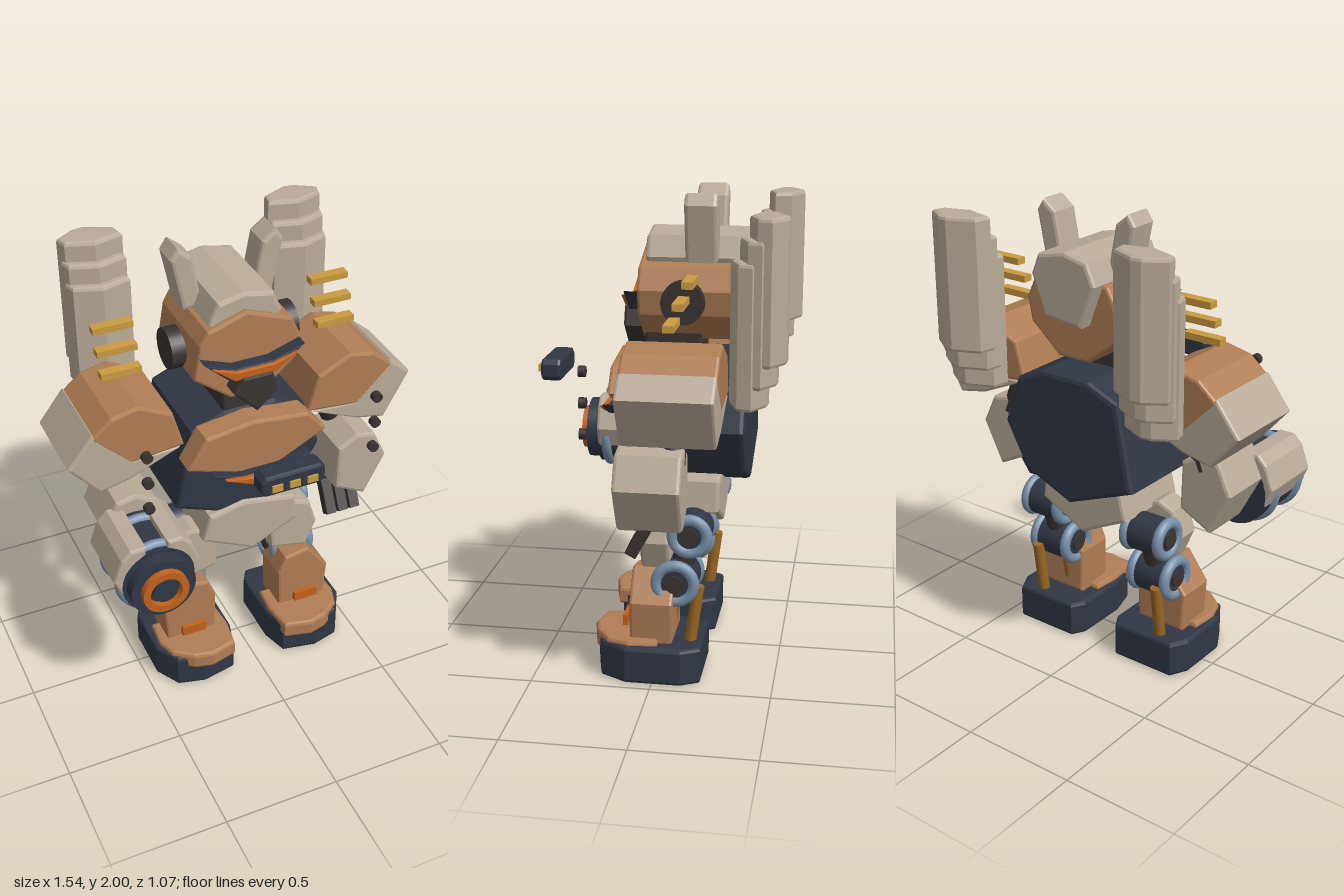
import * as THREE from 'three';

const mat = (name, color) => {
  const m = new THREE.MeshStandardMaterial({ color });
  m.name = name;
  return m;
};

export function createModel() {
  const tan = mat('tan armour', 0xb07d54), bone = mat('bone armour', 0xb9ab99);
  const navy = mat('navy frame', 0x303744), blue = mat('steel blue', 0x7890aa);
  const brown = mat('dark brown', 0x3a3331), orange = mat('orange glow', 0xc4611c);
  const gold = mat('gold', 0xcb9c40), amber = mat('amber piston', 0x9a6722);
  const root = new THREE.Group();

  const add = (name, geo, material, x = 0, y = 0, z = 0) => {
    const m = new THREE.Mesh(geo, material);
    m.name = name;
    m.position.set(x, y, z);
    root.add(m);
    return m;
  };
  // Bevelled prism whose outline and depth include the bevel
  const prism = (pts, d, b) => new THREE.ExtrudeGeometry(
    new THREE.Shape(pts.map(([x, y]) => new THREE.Vector2(x, y))),
    { depth: d - 2 * b, bevelThickness: b, bevelSize: b, bevelOffset: -b, bevelSegments: 2 }
  ).translate(0, 0, b);
  // Outline seen from the front, running from z0 to z1
  const plate = (name, material, pts, z0, z1, b = 0.012) =>
    add(name, prism(pts, z1 - z0, b), material, 0, 0, z0);
  // Outline (x, z) seen from above, running from y0 to y1
  const column = (name, material, pts, y0, y1, b = 0.015) =>
    add(name, prism(pts.map(([x, z]) => [x, -z]), y1 - y0, b).rotateX(-Math.PI / 2), material, 0, y0, 0);
  const box = (name, material, w, h, d, x, y, z) =>
    add(name, new THREE.BoxGeometry(w, h, d), material, x, y, z);
  const rect = (x0, x1, y0, y1, c) => [[x0 + c, y0], [x1 - c, y0], [x1, y0 + c], [x1, y1 - c],
    [x1 - c, y1], [x0 + c, y1], [x0, y1 - c], [x0, y0 + c]];
  const discX = (name, material, r, len, x, y, z) =>
    add(name, new THREE.CylinderGeometry(r, r, len, 28).rotateZ(Math.PI / 2), material, x, y, z);
  const discZ = (name, material, r, len, x, y, z) =>
    add(name, new THREE.CylinderGeometry(r, r, len, 32).rotateX(Math.PI / 2), material, x, y, z);
  const rod = (name, material, r, a, b) => {
    const va = new THREE.Vector3(...a), vb = new THREE.Vector3(...b), dir = vb.clone().sub(va);
    const m = add(name, new THREE.CylinderGeometry(r, r, dir.length(), 16), material);
    m.position.copy(va).lerp(vb, 0.5);
    m.quaternion.setFromUnitVectors(new THREE.Vector3(0, 1, 0), dir.normalize());
  };

  // Torso, chest and pelvis
  plate('torso', navy, [[-0.32, 0.9], [-0.245, 1.27], [-0.1, 1.33], [0.13, 1.33], [0.265, 1.27],
    [0.338, 1.06], [0.23, 0.865], [0, 0.77]], -0.36, 0.1, 0.02);
  plate('chestPlate', tan, [[-0.305, 1.165], [-0.225, 1.3], [-0.02, 1.33], [0.23, 1.3],
    [0.315, 1.2], [0.02, 1.05]], 0.085, 0.2);
  plate('chestVentFrame', navy, [[-0.205, 1.135], [-0.08, 1.1], [0.1, 1.1], [0.228, 1.13],
    [0.1, 1.062], [-0.06, 1.058]], 0.19, 0.24, 0.006);
  plate('chestVent', orange, [[-0.165, 1.115], [-0.07, 1.1], [0.09, 1.1], [0.185, 1.112],
    [0.08, 1.066], [-0.05, 1.062]], 0.235, 0.26, 0.005);
  plate('pelvis', bone, [[-0.212, 0.7], [-0.18, 0.825], [-0.02, 0.86], [0.22, 0.815],
    [0.235, 0.69], [0.02, 0.583]], -0.25, 0.12, 0.015);

  // Lamp unit ahead of the chest
  plate('lampUnit', navy, rect(-0.13, 0.147, 1.2, 1.29, 0.02), 0.43, 0.515);
  for (const x of [-0.07, 0.006, 0.082]) box('lamp', gold, 0.045, 0.03, 0.009, x, 1.245, 0.53);

  // Head
  plate('neck', brown, rect(-0.1, 0.11, 1.28, 1.46, 0.02), -0.16, 0.08);
  plate('head', tan, [[-0.225, 1.51], [-0.2, 1.66], [-0.165, 1.72], [0, 1.777], [0.2, 1.7],
    [0.24, 1.61], [0.22, 1.51], [0.08, 1.39], [-0.07, 1.39]], -0.31, 0.09);
  plate('crest', bone, [[-0.15, 1.73], [-0.11, 1.82], [0, 1.845], [0.13, 1.82], [0.165, 1.735],
    [0.1, 1.57], [-0.08, 1.55]], -0.37, 0.065, 0.015);
  plate('visorFrame', navy, [[-0.205, 1.61], [-0.07, 1.56], [0.09, 1.56], [0.23, 1.605],
    [0.11, 1.51], [-0.09, 1.505]], 0.08, 0.145, 0.006);
  plate('visor', orange, [[-0.175, 1.59], [-0.07, 1.555], [0.09, 1.555], [0.195, 1.585],
    [0.1, 1.518], [-0.08, 1.515]], 0.14, 0.16, 0.005);
  plate('muzzle', brown, [[-0.09, 1.46], [-0.05, 1.525], [0.08, 1.525], [0.11, 1.44],
    [0.015, 1.35]], 0.08, 0.168);

  // Paired parts
  for (const s of [1, -1]) {
    const X = x => (s > 0 ? x : 0.01 - x);
    const M = pts => pts.map(([x, y]) => [X(x), y]);

    plate('ear', bone, M([[0.247, 1.95], [0.215, 1.997], [0.155, 1.95], [0.112, 1.73], [0.2, 1.72]]),
      -0.232, -0.1, 0.015);
    discX('earDisc', brown, 0.087, 0.06, X(0.255), 1.57, -0.1);

    // Three overlapping back plates and the floating bars before them
    for (let i = 0; i < 3; i++) {
      const dz = i * 0.035;
      column('backPlate', bone, M([[0.342, -0.485], [0.455, -0.535], [0.5, -0.53], [0.585, -0.475],
        [0.57, -0.42], [0.455, -0.38], [0.328, -0.415]]).map(([x, z]) => [x, z + dz]),
      1.385 - i * 0.085, 1.947 - i * 0.084);
      box('bar', gold, 0.17, 0.028, 0.044, X(0.482), 1.692 - i * 0.084, -0.16 + i * 0.036);
      discZ('bolt', brown, 0.022, 0.028, X(0.51), 1.338 - i * 0.126, 0.256);
    }

    // Shoulders differ slightly in tilt
    const tip = s > 0 ? [0.767, 1.295] : [-0.77, 1.235];
    plate('shoulderTop', tan, M([[0.285, 1.22], [0.33, 1.385], [0.475, 1.457], [0.59, 1.432],
      [0.68, 1.355], [0.52, 1.195]]), -0.29, 0.09);
    plate('shoulderGuard', bone, [...M([[0.3, 1.215], [0.5, 1.21], [0.672, 1.375]]), tip,
      ...M([[0.655, 1.088], [0.525, 1.115]])], -0.289, 0.089);
    rod('upperArm', brown, 0.05, [X(0.44), 1.18, -0.1], [X(0.52), 0.98, -0.1]);
    plate('forearm', bone, M([[0.425, 1], [0.515, 1.052], [0.6, 1.035], [0.662, 0.905],
      [0.565, 0.715], [0.42, 0.79]]), -0.148, 0.12, 0.015);

    // Legs
    plate('thigh', bone, M([[0.125, 0.64], [0.16, 0.7], [0.25, 0.735], [0.325, 0.705],
      [0.362, 0.585], [0.31, 0.46], [0.14, 0.5]]), -0.06, 0.065, 0.015);
    for (const [y, z, r] of [[0.625, -0.145, 0.083], [0.415, -0.085, 0.09]]) {
      discX('joint', navy, r, 0.19, X(0.275), y, z);
      for (const dx of [-0.085, 0.085]) {
        add('jointRing', new THREE.TorusGeometry(r - 0.012, 0.024, 10, 28).rotateY(Math.PI / 2),
          blue, X(0.275) + dx, y, z);
      }
      discX('jointPin', brown, 0.038, 0.212, X(0.275), y, z);
    }
    rod('legStrut', brown, 0.048, [X(0.275), 0.64, -0.15], [X(0.275), 0.4, -0.085]);
    rod('piston', amber, 0.025, [X(0.33), 0.4, -0.18], [X(0.33), 0.14, -0.145]);
    rod('piston', amber, 0.025, [X(0.25), 0.38, -0.08], [X(0.25), 0.14, -0.045]);
    plate('shin', tan, M([[0.165, 0.16], [0.16, 0.36], [0.195, 0.445], [0.31, 0.467],
      [0.408, 0.335], [0.395, 0.16]]), -0.08, 0.1);
    box('shinLight', orange, 0.112, 0.045, 0.02, X(0.282), 0.228, 0.128);
    column('toeCap', tan, M([[0.12, -0.02], [0.43, -0.02], [0.44, 0.1], [0.41, 0.19],
      [0.33, 0.25], [0.25, 0.27], [0.13, 0.24], [0.11, 0.1]]), 0.1, 0.18);
    column('foot', navy, M([[0.13, -0.2], [0.42, -0.2], [0.462, -0.12], [0.462, 0.11],
      [0.4, 0.22], [0.28, 0.25], [0.13, 0.22], [0.095, 0.1], [0.095, -0.14]]), 0, 0.16);
  }

  // Left hand
  for (const x of [0.428, 0.486, 0.544]) {
    box('finger', brown, 0.046, 0.165, 0.05, x, 0.68, 0.025).rotation.x = -0.5;
  }

  // Right arm cannon
  const cx = -0.52, cy = 0.82;
  discZ('cannonBarrel', navy, 0.155, 0.3, cx, cy, 0.235);
  for (const z of [0.168, 0.345]) {
    add('cannonRing', new THREE.TorusGeometry(0.152, 0.023, 10, 36), blue, cx, cy, z);
  }
  for (const s of [1, -1]) {
    plate('cannonShell', bone, [[0.045, 0.965], [0.045, 1], [0.11, 1], [0.15, 0.96], [0.187, 0.86],
      [0.15, 0.775], [0.13, 0.89]].map(([x, y]) => [cx + s * x, y]), 0.085, 0.383);
  }
  discZ('muzzleDisc', navy, 0.138, 0.06, cx, cy, 0.41);
  const ring = new THREE.Shape().absarc(0, 0, 0.098, 0, Math.PI * 2);
  ring.holes.push(new THREE.Path().absarc(0, 0, 0.068, 0, Math.PI * 2, true));
  add('muzzleGlow', new THREE.ExtrudeGeometry(ring, { depth: 0.035, bevelEnabled: false, curveSegments: 20 }),
    orange, cx, cy, 0.435);
  discZ('muzzleCore', navy, 0.052, 0.03, cx, cy, 0.447);

  return root;
}
